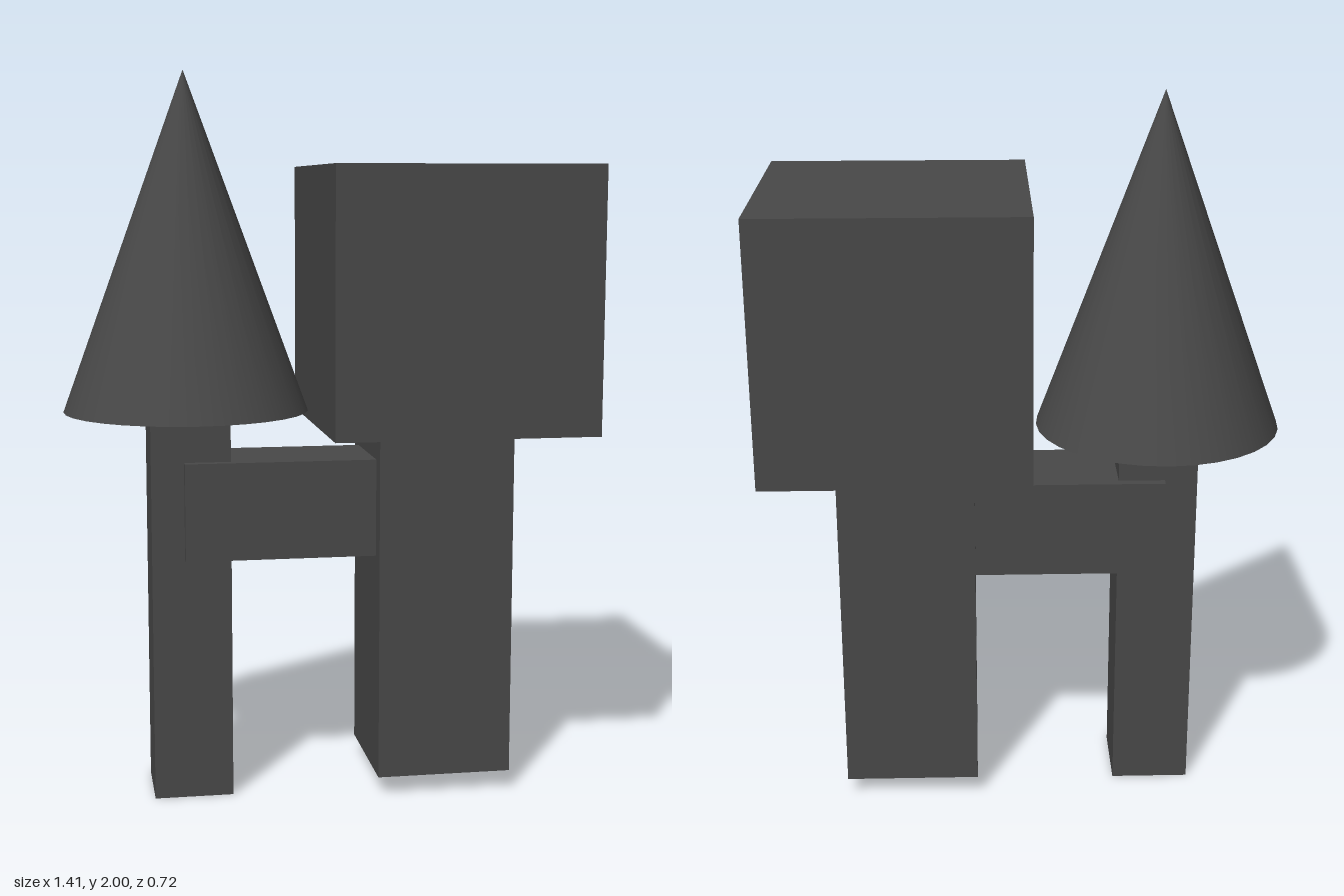
import * as THREE from 'three';

export function createModel() {
  const model = new THREE.Group();
  const material = new THREE.MeshStandardMaterial({ color: 0x484848 });

  function add(name, geometry, x, y) {
    const mesh = new THREE.Mesh(geometry, material);
    mesh.name = name;
    mesh.position.set(x, y, 0);
    model.add(mesh);
  }

  // Box given by its x range, y range and depth, centred on z = 0
  function block(name, x0, x1, y0, y1, depth) {
    add(name, new THREE.BoxGeometry(x1 - x0, y1 - y0, depth), (x0 + x1) / 2, (y0 + y1) / 2);
  }

  // Slim post with a conical top
  block('slimPost', -0.477, -0.259, 0, 1.077, 0.218);
  add('coneTop', new THREE.ConeGeometry(0.337, 0.923, 32), -0.37, 1.5385);

  // Thick post with a cubic top
  block('thickPost', 0.14, 0.516, 0.054, 1.029, 0.376);
  block('cubeTop', -0.013, 0.707, 1.029, 1.747, 0.719);

  // Bar joining the two posts, running into the thick one
  block('crossBar', -0.387, 0.18, 0.676, 0.946, 0.27);

  return model;
}
